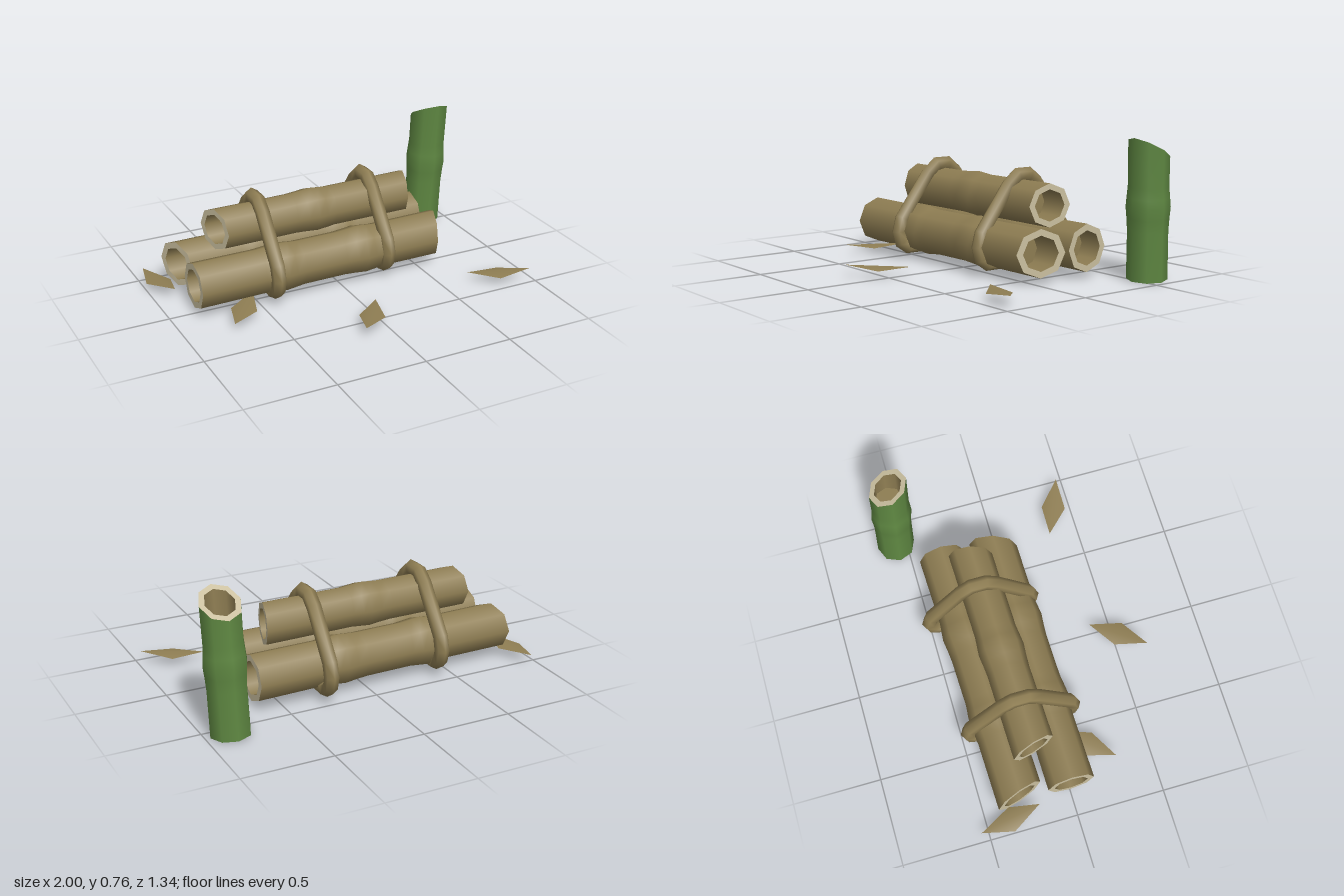
import * as THREE from 'three';

const mat = (name, color) => {
  const m = new THREE.MeshStandardMaterial({ color, side: THREE.DoubleSide });
  m.name = name;
  return m;
};

export function createModel() {
  const dry = mat('dryBamboo', 0x8f7e53);
  const green = mat('greenBamboo', 0x5f8842);
  const pale = mat('paleCutWood', 0xcabf9f);

  const root = new THREE.Group();
  root.name = 'bambooBundle';

  const addMesh = (parent, name, geo, material) => {
    const m = new THREE.Mesh(geo, material);
    m.name = name;
    parent.add(m);
    return m;
  };

  // Eight-sided revolved strip; shift(i, z) slides each profile row along the axis for slanted cuts
  const strip = (pts, shift) => {
    const geo = new THREE.LatheGeometry(pts.map(([r, y]) => new THREE.Vector2(r, y)), 8);
    const p = geo.attributes.position;
    for (let i = 0; i < p.count; i++) {
      p.setY(i, p.getY(i) + shift(i % pts.length, p.getZ(i)));
    }
    return geo;
  };

  // Hollow cane along +y, from a to b, with swollen nodes and cut slopes at both ends
  const cane = (name, { r, a, b, cutA = 0, cutB = 0, nodes, skin }) => {
    const g = new THREE.Group();
    g.name = name;
    const inner = r * 0.73, depth = 0.14;

    const profile = [[r, a]];
    for (const n of nodes) {
      profile.push([r * 0.99, n - 0.13], [r * 1.03, n - 0.06], [r * 1.08, n], [r * 1.04, n + 0.05], [r * 0.99, n + 0.11]);
    }
    profile.push([r, b]);
    const last = profile.length - 1;
    addMesh(g, 'skin', strip(profile, (i, z) => (i === 0 ? cutA * z : i === last ? cutB * z : 0)), skin);

    for (const [end, y, cut, s] of [['lower', a, cutA, 1], ['upper', b, cutB, -1]]) {
      const order = (pts) => (s > 0 ? pts.reverse() : pts);
      const rim = strip(order([[r, y], [inner, y]]), (i, z) => cut * z);
      rim.computeVertexNormals();
      addMesh(g, end + 'Rim', rim, pale);
      const mouth = s > 0 ? 1 : 0;
      addMesh(g, end + 'Bore', strip(order([[inner, y], [inner, y + s * depth]]),
        (i, z) => (i === mouth ? cut * z : 0)), dry);
      addMesh(g, end + 'Membrane', strip(order([[inner, y + s * depth], [0, y + s * depth]]), () => 0), dry);
    }
    root.add(g);
    return g;
  };

  // Three lying canes
  const lying = (name, y, z, yaw, opts) => {
    const g = cane(name, { ...opts, skin: dry });
    g.position.set(0, y, z);
    g.rotation.set(0, yaw, -Math.PI / 2);
  };
  lying('frontCane', 0.165, -0.013, 0.017, { r: 0.131, a: -0.855, b: 0.632, cutB: -0.33, nodes: [-0.35, 0.14] });
  lying('backCane', 0.165, -0.311, 0.027, { r: 0.131, a: -0.842, b: 0.65, cutA: 0.31, nodes: [-0.37, 0.14] });
  lying('topCane', 0.39, -0.173, 0.022, { r: 0.119, a: -0.662, b: 0.513, cutA: 0.27, cutB: -0.24, nodes: [-0.08] });

  // Standing green cane, leaning slightly
  const stump = cane('standingCane', { r: 0.109, a: 0, b: 0.702, cutB: 0.56, nodes: [0.39], skin: green });
  stump.position.set(0.865, 0.005, -0.562);
  stump.rotation.set(0.034, 0, -0.035);

  // Lashing: six-sided band mitred around a rounded triangle in the z-y plane
  const half = [[0.24, 0.067], [0.29, 0.1], [0.305, 0.16], [0.285, 0.235], [0.1, 0.48], [0.04, 0.53]];
  const loop = [...half, ...half.map(([z, y]) => [-z, y]).reverse()];
  const lashing = (name, x, z) => {
    const R = 0.04, sides = 6, n = loop.length, pos = [], idx = [];
    loop.forEach((p, i) => {
      const q = loop[(i + n - 1) % n], t = loop[(i + 1) % n];
      const cur = new THREE.Vector2(...p);
      const d0 = cur.clone().sub(new THREE.Vector2(...q)).normalize();
      const d1 = new THREE.Vector2(...t).sub(cur).normalize();
      const d = d0.clone().add(d1).normalize();
      const stretch = 1 / Math.max(0.7, d.dot(d1));
      for (let k = 0; k < sides; k++) {
        const w = (k / sides) * Math.PI * 2, o = Math.cos(w) * R * stretch;
        pos.push(Math.sin(w) * R, p[1] - d.x * o, p[0] + d.y * o);
        const A = i * sides + k, B = i * sides + ((k + 1) % sides);
        const C = ((i + 1) % n) * sides + k, D = ((i + 1) % n) * sides + ((k + 1) % sides);
        idx.push(A, C, B, B, C, D);
      }
    });
    const geo = new THREE.BufferGeometry();
    geo.setAttribute('position', new THREE.Float32BufferAttribute(pos, 3));
    geo.setIndex(idx);
    geo.computeVertexNormals();
    // Keep the winding facing outward
    const v = new THREE.Vector3().fromBufferAttribute(geo.attributes.normal, 2 * sides);
    if (v.z < 0) {
      geo.setIndex(idx.slice().reverse());
      geo.computeVertexNormals();
    }
    addMesh(root, name, geo, dry).position.set(x, 0, z);
  };
  lashing('rightLashing', -0.42, -0.16);
  lashing('leftLashing', 0.27, -0.2);

  // Fallen leaves: raised tip, side, far tip, side as [x, z]
  const heights = [0.067, 0.043, 0.053, 0.045];
  const leaves = [
    [[-0.895, -0.19], [-0.86, -0.36], [-0.96, -0.54], [-1.0, -0.36]],
    [[-0.525, 0.02], [-0.69, 0.11], [-0.745, 0.3], [-0.58, 0.208]],
    [[-0.165, 0.67], [0.0, 0.57], [0.04, 0.385], [-0.115, 0.49]],
    [[0.98, 0.465], [0.84, 0.335], [0.655, 0.33], [0.79, 0.465]],
  ];
  leaves.forEach((pts, i) => {
    const area = pts.reduce((s, p, k) => {
      const q = pts[(k + 1) % 4];
      return s + p[0] * q[1] - q[0] * p[1];
    }, 0);
    const geo = new THREE.BufferGeometry();
    geo.setAttribute('position', new THREE.Float32BufferAttribute(
      pts.flatMap(([x, z], k) => [x, heights[k], z]), 3));
    geo.setIndex(area < 0 ? [0, 1, 2, 0, 2, 3] : [0, 2, 1, 0, 3, 2]);
    geo.computeVertexNormals();
    addMesh(root, 'leaf' + (i + 1), geo, dry);
  });

  return root;
}
